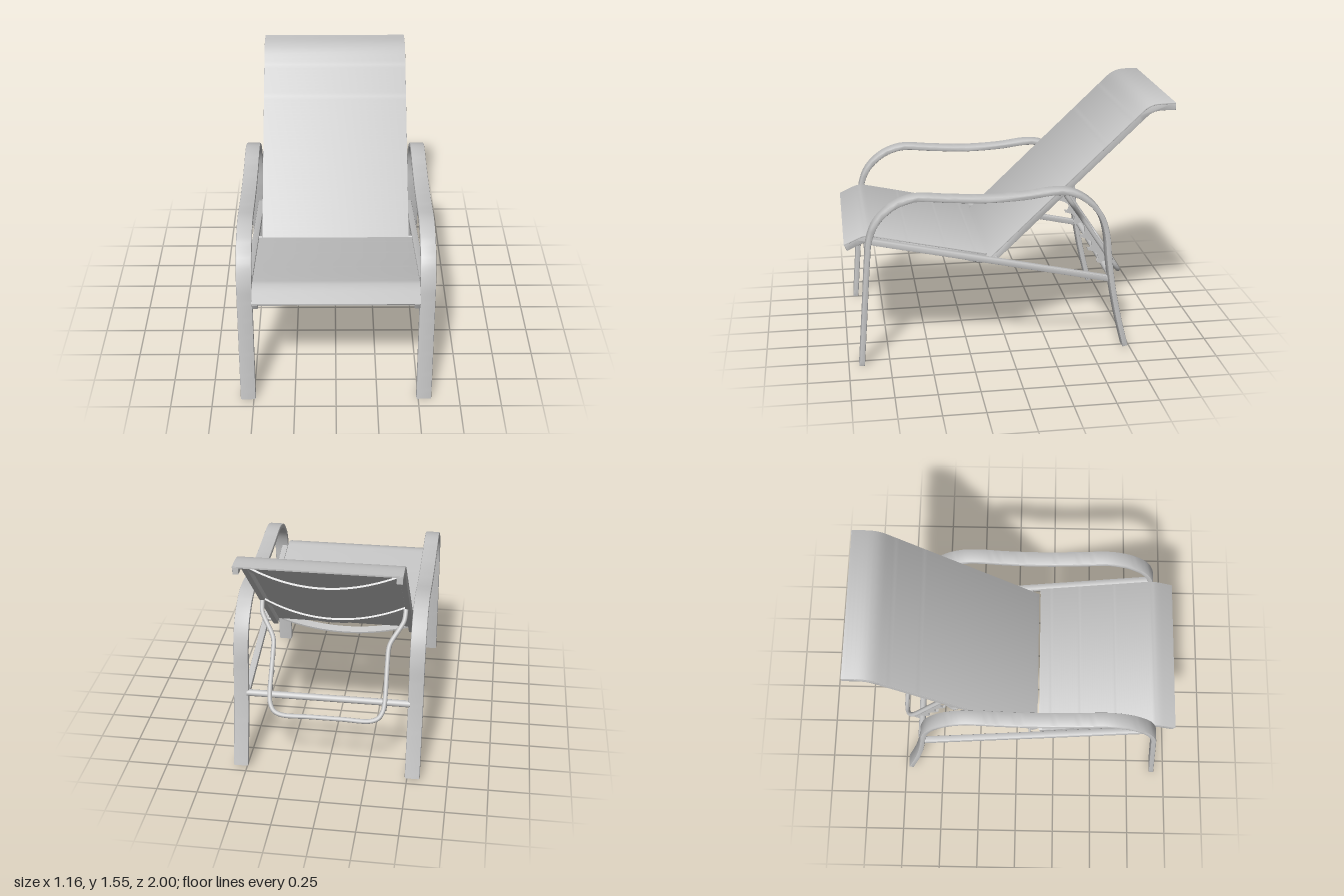
import * as THREE from 'three';
import { toCreasedNormals } from 'three/addons/utils/BufferGeometryUtils.js';

const metal = new THREE.MeshStandardMaterial({ color: 0xc6c6c6 });
metal.name = 'light grey';

// Band that follows a side profile of [z, y] points, running from x0 to x1
function band(points, thick, x0, x1, bevel = 0, offset = 0, samples = 60) {
  const curve = new THREE.CatmullRomCurve3(points.map(([z, y]) => new THREE.Vector3(-z, y, 0)), false, 'centripetal');
  const upper = [], lower = [], half = thick / 2 - bevel;
  for (let i = 0; i <= samples; i++) {
    const p = curve.getPointAt(i / samples), t = curve.getTangentAt(i / samples);
    upper.push(new THREE.Vector2(p.x - t.y * (offset + half), p.y + t.x * (offset + half)));
    lower.push(new THREE.Vector2(p.x - t.y * (offset - half), p.y + t.x * (offset - half)));
  }
  return across(new THREE.Shape([...upper, ...lower.reverse()]), x0, x1, bevel);
}

// Extrudes a shape drawn in (-z, y) across the width of the chair
function across(shape, x0, x1, bevel = 0) {
  const geo = new THREE.ExtrudeGeometry(shape, {
    depth: x1 - x0 - 2 * bevel, bevelEnabled: bevel > 0,
    bevelSize: bevel, bevelThickness: bevel, bevelSegments: 2,
  });
  geo.translate(0, 0, x0 + bevel).rotateY(Math.PI / 2);
  return toCreasedNormals(geo, 0.6);
}

function rod(radius, x0, x1, y, z) {
  const geo = new THREE.CylinderGeometry(radius, radius, x1 - x0, 20);
  return geo.rotateZ(Math.PI / 2).translate((x0 + x1) / 2, y, z);
}

// Sagging flat strap between the two rails
function strap(halfWidth, sag, depth) {
  const top = [], bottom = [], thick = 0.012;
  for (let i = 0; i <= 32; i++) {
    const x = halfWidth * (i / 16 - 1);
    const y = -sag * (1 - (x / halfWidth) ** 2);
    top.push(new THREE.Vector2(x, y + thick / 2));
    bottom.push(new THREE.Vector2(x, y - thick / 2));
  }
  const geo = new THREE.ExtrudeGeometry(new THREE.Shape([...bottom, ...top.reverse()]), { depth, bevelEnabled: false });
  return toCreasedNormals(geo.translate(0, 0, -depth / 2), 0.6);
}

export function createModel() {
  const chair = new THREE.Group();
  chair.name = 'recliningChair';
  const add = (name, geo) => {
    const mesh = new THREE.Mesh(geo, metal);
    mesh.name = name;
    chair.add(mesh);
    return mesh;
  };
  // Adds a part given by its x range on both sides
  const addPair = (name, make, x0, x1) => {
    add(name + 'Left', make(x0, x1));
    add(name + 'Right', make(-x1, -x0));
  };

  // Side hoops: front leg, armrest and back leg in one flat band
  const hoop = [[0.92, 0.016], [0.893, 0.35], [0.865, 0.7], [0.852, 0.81], [0.81, 0.915], [0.72, 1.005],
    [0.63, 1.047], [0.55, 1.06], [0.4, 1.047], [0.15, 1.032], [-0.08, 1.04], [-0.26, 1.06], [-0.36, 1.05],
    [-0.46, 0.995], [-0.54, 0.9], [-0.58, 0.78], [-0.598, 0.62], [-0.625, 0.43], [-0.665, 0.23], [-0.713, 0.036]];
  addPair('legAndArmrest', (a, b) => band(hoop, 0.033, a, b, 0.008, 0, 110), 0.488, 0.58);

  // Long base rails and cross bars
  addPair('baseRail', (a, b) => band([[0.85, 0.79], [-0.62, 0.465]], 0.035, a, b, 0.006, 0, 2), 0.49, 0.53);
  add('frontCrossBar', new THREE.BoxGeometry(0.99, 0.056, 0.026).translate(0, 0.697, 0.863));
  add('rearCrossBar', rod(0.021, -0.5, 0.5, 0.5, -0.615));

  // Seat
  const seat = [[0.986, 0.746], [0.93, 0.772], [0.89, 0.789], [0.862, 0.795], [0.82, 0.788], [0.5, 0.717], [0.15, 0.64]];
  addPair('seatRail', (a, b) => band(seat, 0.042, a, b, 0.004), 0.449, 0.484);
  add('seatSling', band(seat, 0.009, -0.486, 0.486, 0.002, 0.021));

  // Backrest with a rolled head end
  const back = [[0.115, 0.605], [-0.3, 1.002], [-0.6, 1.288], [-0.755, 1.436], [-0.795, 1.474], [-0.83, 1.505],
    [-0.865, 1.523], [-0.91, 1.53], [-0.996, 1.53]];
  addPair('backRail', (a, b) => band(back, 0.044, a, b, 0.004), 0.431, 0.466);
  add('backSling', band(back, 0.009, -0.468, 0.468, 0.002, 0.02));
  addPair('pivotPin', (a, b) => rod(0.009, a, b, 0.628, 0.085), 0.45, 0.5);

  // Curved support straps below the seat and behind the backrest
  const straps = [['seatStrap', 0.615, 0.195, -0.215, 0.48], ['lowerBackStrap', 0.98, -0.29, 0.81, 0.45],
    ['upperBackStrap', 1.42, -0.735, 0.81, 0.45]];
  for (const [name, y, z, tilt, half] of straps) {
    const mesh = add(name, strap(half, 0.108, 0.055));
    mesh.position.set(0, y, z);
    mesh.rotation.x = tilt;
  }

  // U-shaped prop: s runs from the backrest (0) to the low end (1)
  const at = (x, s) => new THREE.Vector3(x, 1.0 - 0.572 * s, -0.345 - 0.38 * s);
  const half = [[0.44, 0], [0.437, 0.08], [0.43, 0.12], [0.362, 0.3], [0.352, 0.35], [0.35, 0.5], [0.35, 0.84],
    [0.342, 0.91], [0.318, 0.97], [0.27, 1], [0.1, 1]];
  const propPath = [...half.map(([x, s]) => at(x, s)), ...half.slice().reverse().map(([x, s]) => at(-x, s))];
  const propCurve = new THREE.CatmullRomCurve3(propPath, false, 'centripetal');
  add('backProp', new THREE.TubeGeometry(propCurve, 120, 0.0145, 12));

  // Toothed racks that hold the prop
  const outline = [[-0.482, 0.772], [-0.487, 0.72], [-0.472, 0.7], [-0.455, 0.71], [-0.458, 0.69], [-0.5, 0.675],
    [-0.53, 0.655], [-0.532, 0.63], [-0.52, 0.612], [-0.503, 0.62], [-0.508, 0.6], [-0.55, 0.588], [-0.575, 0.57],
    [-0.578, 0.545], [-0.565, 0.528], [-0.572, 0.515], [-0.6, 0.505], [-0.61, 0.462], [-0.64, 0.455], [-0.668, 0.485]];
  const rack = new THREE.Shape(outline.map(([z, y]) => new THREE.Vector2(-z, y)));
  addPair('propRack', (a, b) => across(rack, a, b), 0.346, 0.36);

  return chair;
}
